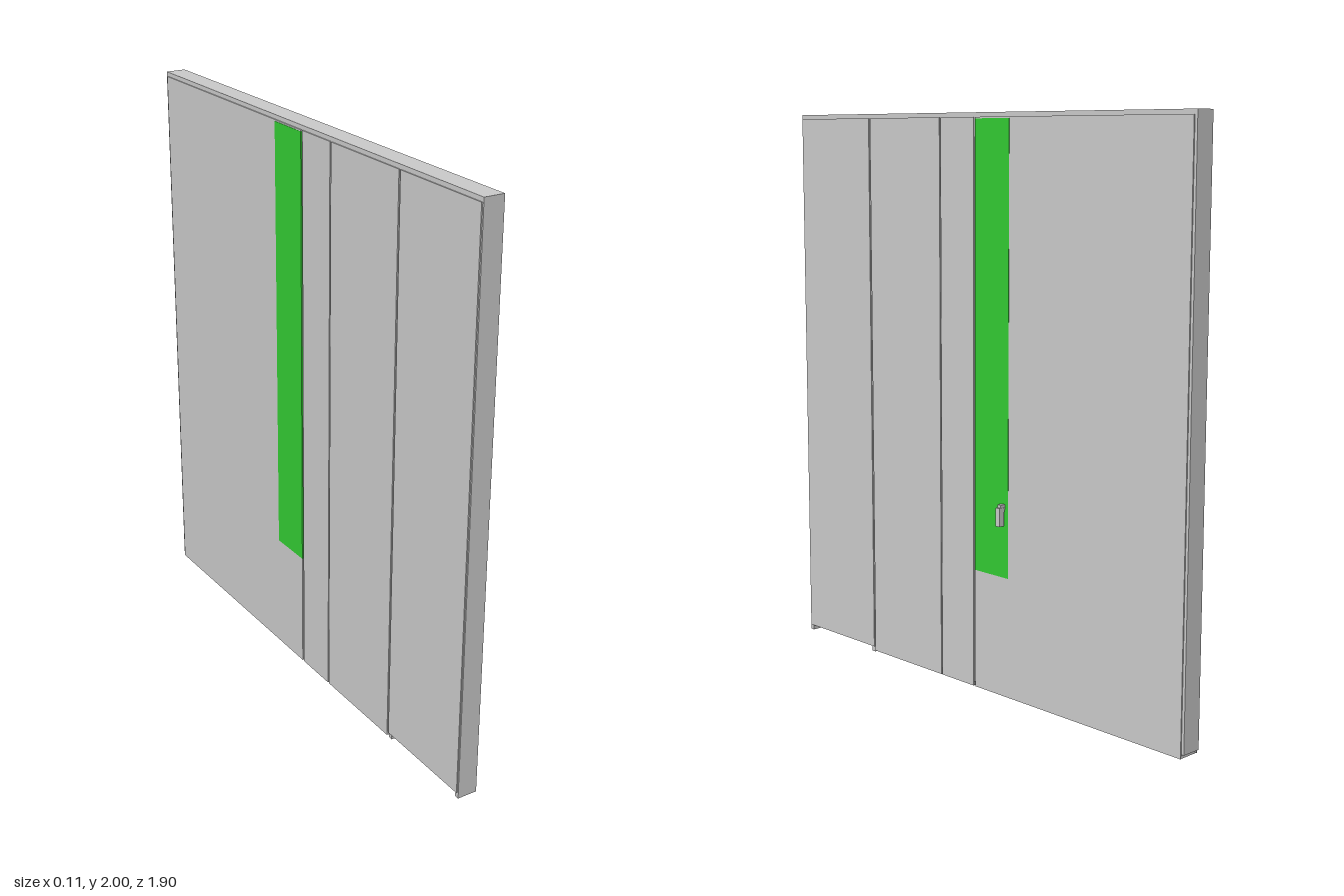
import * as THREE from 'three';

const grey = new THREE.MeshStandardMaterial({ color: 0xcccccc, flatShading: true });
const green = new THREE.MeshStandardMaterial({ color: 0x33cc33, flatShading: true });

// Box given by its lower and upper limits on each axis
function block(parent, name, [x0, x1], [y0, y1], [z0, z1], material = grey) {
  const mesh = new THREE.Mesh(new THREE.BoxGeometry(x1 - x0, y1 - y0, z1 - z0), material);
  mesh.position.set((x0 + x1) / 2, (y0 + y1) / 2, (z0 + z1) / 2);
  mesh.name = name;
  parent.add(mesh);
  return mesh;
}

export function createModel() {
  const model = new THREE.Group();
  model.name = 'doorWall';

  // Wall core, slightly recessed behind the facing panels
  block(model, 'wallCore', [-0.051, 0.021], [0.02, 2], [-0.95, 0.95]);

  // Thin facing panels on both sides, split by narrow vertical grooves
  const panels = [
    [0.555, 0.945, 0.02],
    [0.175, 0.547, 0.006],
    [0.004, 0.169, 0.006],
    [-0.94, -0.005, 0.006],
  ];
  for (const [x0, x1] of [[-0.055, -0.051], [0.021, 0.025]]) {
    for (const [z0, z1, y0] of panels) {
      block(model, 'facingPanel', [x0, x1], [y0, 1.985], [z0, z1]);
    }
  }

  // Bottom rails with small gaps between the sections
  const joints = [0.555, 0.18, 0, -0.175, -0.555, -0.945];
  for (let i = 0; i < joints.length - 1; i++) {
    block(model, 'bottomRail', [-0.051, 0.021], [0.005, 0.02], [joints[i + 1] + 0.008, joints[i] - 0.008]);
  }

  // Corner feet under the open end
  for (const z of [0.942, 0.562]) {
    block(model, 'foot', [-0.051, 0.021], [0, 0.02], [z - 0.008, z + 0.008]);
  }

  // Tall window pane showing on both faces
  block(model, 'windowPane', [-0.056, 0.026], [0.43, 1.98], [-0.168, -0.004], green);

  // Door handle: a short stem with a hanging grip
  const handle = new THREE.Group();
  handle.name = 'handle';
  block(handle, 'handleStem', [0.025, 0.046], [0.67, 0.688], [-0.153, -0.137]);
  block(handle, 'handleGrip', [0.031, 0.054], [0.614, 0.678], [-0.155, -0.136]);
  model.add(handle);

  return model;
}
